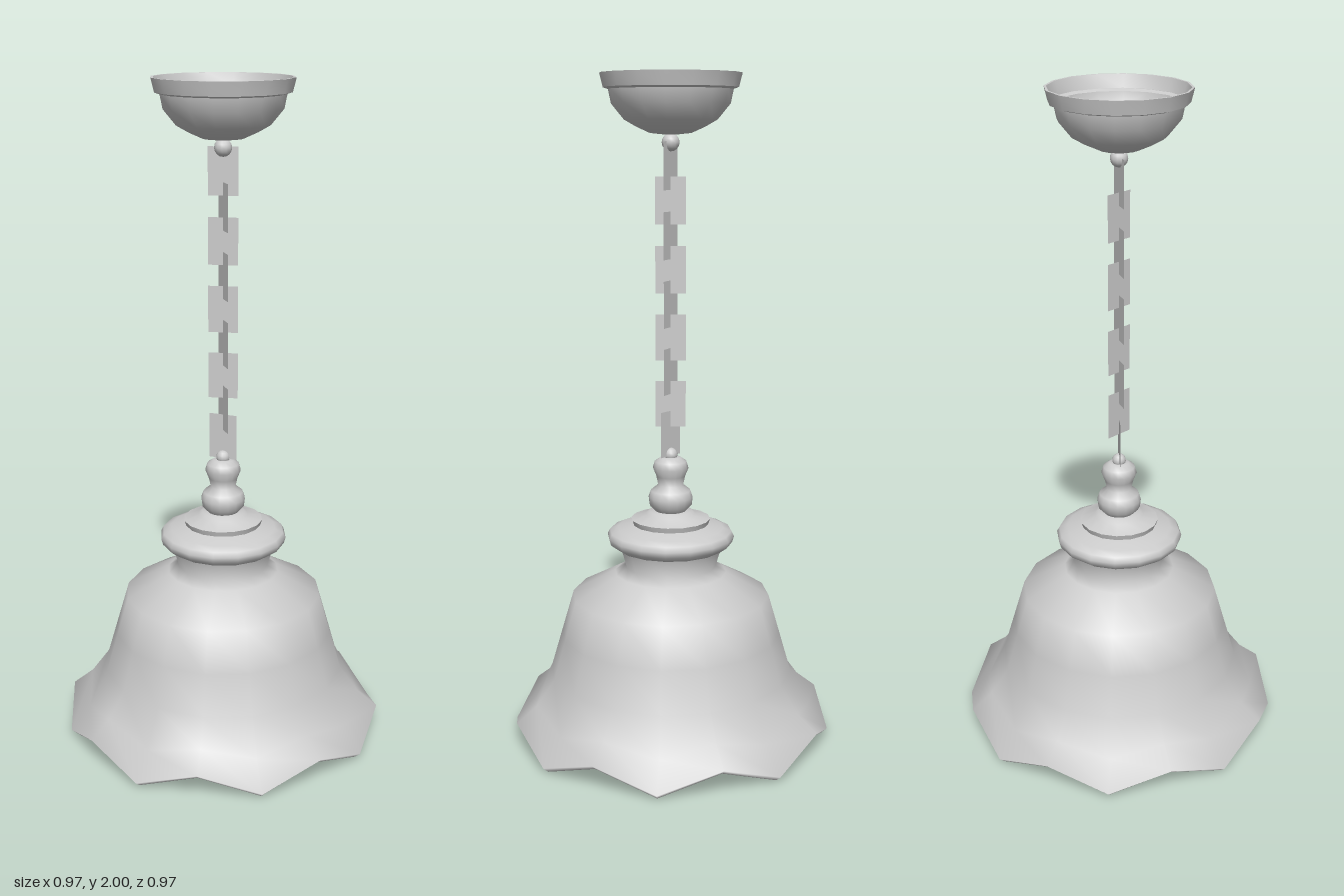
import * as THREE from 'three';
import { mergeVertices, toCreasedNormals } from 'three/addons/utils/BufferGeometryUtils.js';

const SIDES = 16;

// Revolve a [radius, y] profile, optionally reshaping each vertex, with a seamless result
function turned(profile, reshape) {
  let geo = new THREE.LatheGeometry(profile.map(([r, y]) => new THREE.Vector2(r, y)), SIDES);
  geo.deleteAttribute('uv');
  geo.deleteAttribute('normal');
  if (reshape) {
    const p = geo.attributes.position;
    for (let i = 0; i < p.count; i++) reshape(p, i);
  }
  geo = mergeVertices(geo, 1e-4);
  geo.computeVertexNormals();
  return geo;
}

export function createModel() {
  const group = new THREE.Group();
  group.name = 'pendantLamp';
  const metal = new THREE.MeshStandardMaterial({ color: 0xcccccc, side: THREE.DoubleSide });
  metal.name = 'light grey';

  const add = (name, geo, parent = group) => {
    const mesh = new THREE.Mesh(geo, metal);
    mesh.name = name;
    parent.add(mesh);
    return mesh;
  };

  // Bell shade: inner wall down, thick lip, outer wall up; every other rim corner dips
  add('shade', turned([
    [0.12, 0.59], [0.12, 0.54], [0.15, 0.51], [0.28, 0.44], [0.35, 0.21],
    [0.405, 0.125], [0.47, 0.07], [0.487, 0.085], [0.425, 0.135], [0.37, 0.21],
    [0.335, 0.33], [0.3, 0.45], [0.17, 0.52], [0.138, 0.54], [0.155, 0.6],
  ], (p, i) => {
    const step = Math.round(Math.atan2(p.getX(i), p.getZ(i)) / (Math.PI * 2 / SIDES));
    const y = p.getY(i);
    if (Math.abs(step) % 2 === 1) {
      p.setY(i, y - 0.065 * THREE.MathUtils.clamp((0.2 - y) / 0.115, 0, 1));
    }
  }));

  // Ring and stepped cap holding the shade
  add('shadeHolder', toCreasedNormals(turned([
    [0.13, 0.595], [0.165, 0.6], [0.188, 0.617], [0.193, 0.635], [0.185, 0.65],
    [0.16, 0.66], [0.115, 0.672], [0.12, 0.688], [0.075, 0.703], [0.065, 0.712], [0, 0.714],
  ]), 0.9));

  // Turned finial above the cap
  add('finial', turned([
    [0.045, 0.71], [0.064, 0.73], [0.067, 0.755], [0.06, 0.775], [0.038, 0.792],
    [0.044, 0.82], [0.054, 0.845], [0.048, 0.865], [0.03, 0.877], [0, 0.88],
  ]));

  // Beads at both ends of the chain
  const bead = (name, r, y) => add(name, new THREE.SphereGeometry(r, 12, 8)).position.set(0, y, 0);
  bead('lowerBead', 0.021, 0.885);
  bead('upperBead', 0.026, 1.806);

  // Chain of flat plates alternating in direction
  const chain = new THREE.Group();
  chain.name = 'chain';
  group.add(chain);
  for (let i = 0; i < 9; i++) {
    const across = i % 2 === 0;
    const link = add(across ? 'frontLink' : 'sideLink',
      new THREE.PlaneGeometry(across ? 0.088 : 0.09, 0.138), chain);
    link.position.y = 1.74 - i * 0.1 + (i === 8 ? 0.01 : 0);
    link.rotation.y = across ? (i === 8 ? -0.24 : 0) : -1.1;
  }

  // Open ceiling cup with a rolled rim
  add('ceilingCup', toCreasedNormals(turned([
    [0, 1.826], [0.06, 1.832], [0.1, 1.85], [0.135, 1.87], [0.172, 1.915], [0.18, 1.955],
    [0.195, 1.96], [0.205, 2], [0.198, 2], [0.185, 1.963],
  ]), 0.9));

  return group;
}
